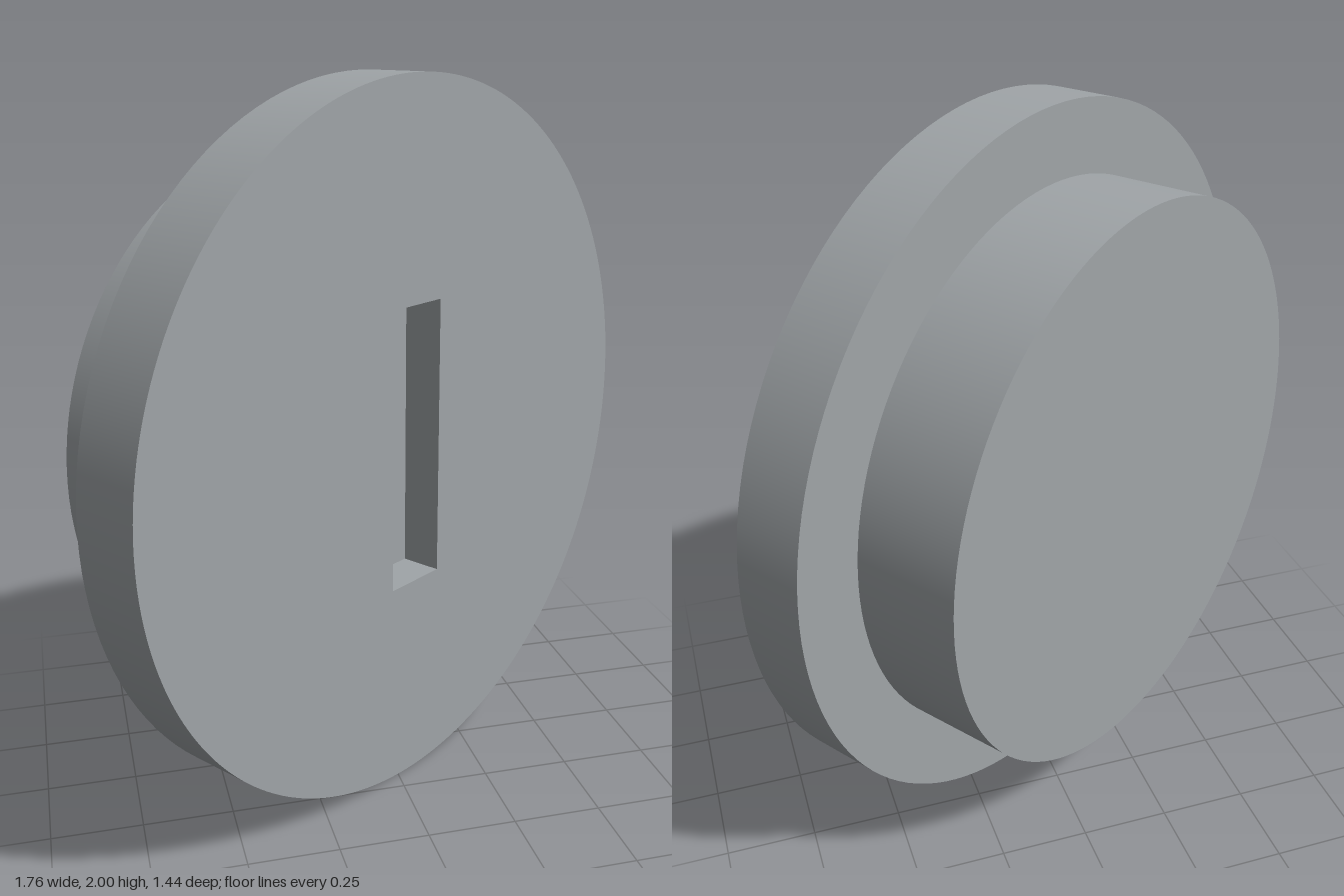
import * as THREE from 'three';

const R = 1, BOSS_R = 0.8;            // flange and boss radii
const FLANGE = 0.2, BOSS = 0.3;       // thicknesses along the axis
const SLOT_W = 0.2, SLOT_H = 0.8, SLOT_D = 0.12;
const SEG = 128;

export function createModel() {
  const gray = new THREE.MeshStandardMaterial({ color: 0xa0a5a8 });
  gray.name = 'steel gray';

  const model = new THREE.Group();
  model.name = 'slottedPlug';
  const add = (parent, name, geometry) => {
    const mesh = new THREE.Mesh(geometry, gray);
    mesh.name = name;
    parent.add(mesh);
    return mesh;
  };

  // Local frame: the front face lies at z = 0 and the axis runs back along -z
  const rim = (radius, depth, front) =>
    new THREE.CylinderGeometry(radius, radius, depth, SEG, 1, true)
      .rotateX(Math.PI / 2).translate(0, 0, front - depth / 2);

  // Flange: front face with the slot opening, rim and back ring
  const flange = new THREE.Group();
  flange.name = 'flange';
  const face = new THREE.Shape().absarc(0, 0, R, 0, Math.PI * 2, false);
  const w = SLOT_W / 2, h = SLOT_H / 2;
  face.holes.push(new THREE.Path([[-w, -h], [-w, h], [w, h], [w, -h]].map(p => new THREE.Vector2(...p))));
  add(flange, 'frontFace', new THREE.ShapeGeometry(face, SEG));
  add(flange, 'flangeRim', rim(R, FLANGE, 0));
  add(flange, 'flangeBack', new THREE.RingGeometry(BOSS_R, R, SEG).rotateY(Math.PI).translate(0, 0, -FLANGE));

  // Slot: floor and four inward-facing walls
  const slot = new THREE.Group();
  slot.name = 'slot';
  add(slot, 'slotFloor', new THREE.PlaneGeometry(SLOT_W, SLOT_H).translate(0, 0, -SLOT_D));
  for (const s of [-1, 1]) {
    add(slot, 'slotSideWall', new THREE.PlaneGeometry(SLOT_D, SLOT_H)
      .rotateY(-s * Math.PI / 2).translate(s * w, 0, -SLOT_D / 2));
    add(slot, 'slotEndWall', new THREE.PlaneGeometry(SLOT_W, SLOT_D)
      .rotateX(s * Math.PI / 2).translate(0, s * h, -SLOT_D / 2));
  }

  // Boss behind the flange
  const boss = new THREE.Group();
  boss.name = 'boss';
  add(boss, 'bossRim', rim(BOSS_R, BOSS, -FLANGE));
  add(boss, 'bossBack', new THREE.CircleGeometry(BOSS_R, SEG).rotateY(Math.PI).translate(0, 0, -FLANGE - BOSS));

  // Stand the plug on its edge, turned about the vertical
  const plug = new THREE.Group();
  plug.name = 'plug';
  plug.add(flange, slot, boss);
  plug.rotation.y = THREE.MathUtils.degToRad(35);
  plug.position.set(0.06, 1, 0.146);
  model.add(plug);
  return model;
}
